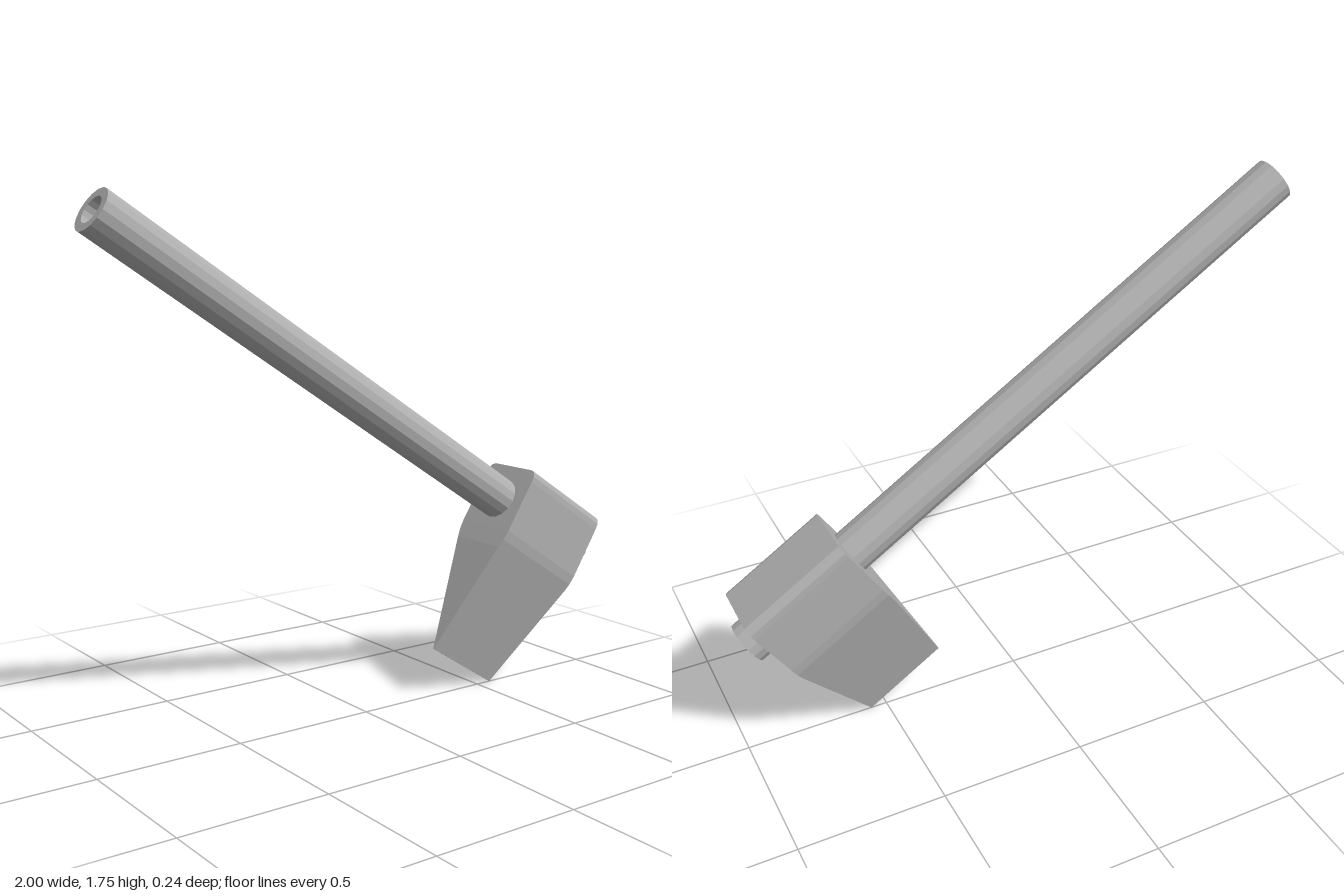
import * as THREE from 'three';
import { ConvexGeometry } from 'three/addons/geometries/ConvexGeometry.js';

export function createModel() {
  const model = new THREE.Group();
  model.name = 'axe';
  const grey = new THREE.MeshStandardMaterial({ color: 0xb0b0b0, flatShading: true });
  grey.name = 'grey';

  // Tilted frame: x runs along the handle, y from the blade edge to the poll
  const axe = new THREE.Group();
  axe.name = 'tiltedAxe';
  axe.position.y = 1.0685;
  axe.rotation.z = -0.575;
  model.add(axe);

  // Hollow handle, a closed ring profile turned about the axis
  const half = 1.143, outer = 0.075, inner = 0.046;
  const profile = [
    [inner, -half], [outer, -half], [outer, half], [inner, half], [inner, -half],
  ].map(([r, y]) => new THREE.Vector2(r, y));
  const handle = new THREE.Mesh(new THREE.LatheGeometry(profile, 16).rotateZ(-Math.PI / 2), grey);
  handle.name = 'handle';
  axe.add(handle);

  // Wedge head: levels of [height, half thickness, start, end], rounded at poll and shoulder
  const levels = [
    [0.128, 0.098, 0.703, 1.092],
    [0.121, 0.112, 0.703, 1.092],
    [0.106, 0.12, 0.703, 1.092],
    [0.085, 0.122, 0.703, 1.092],
    [-0.11, 0.122, 0.702, 1.092],
    [-0.145, 0.118, 0.702, 1.092],
    [-0.175, 0.11, 0.702, 1.091],
    [-0.588, 0.001, 0.731, 1.044],
  ];
  const corners = [];
  for (const [y, t, x0, x1] of levels) {
    for (const z of [-t, t]) {
      corners.push(new THREE.Vector3(x0, y, z), new THREE.Vector3(x1, y, z));
    }
  }
  const head = new THREE.Mesh(new ConvexGeometry(corners), grey);
  head.name = 'head';
  axe.add(head);

  return model;
}
